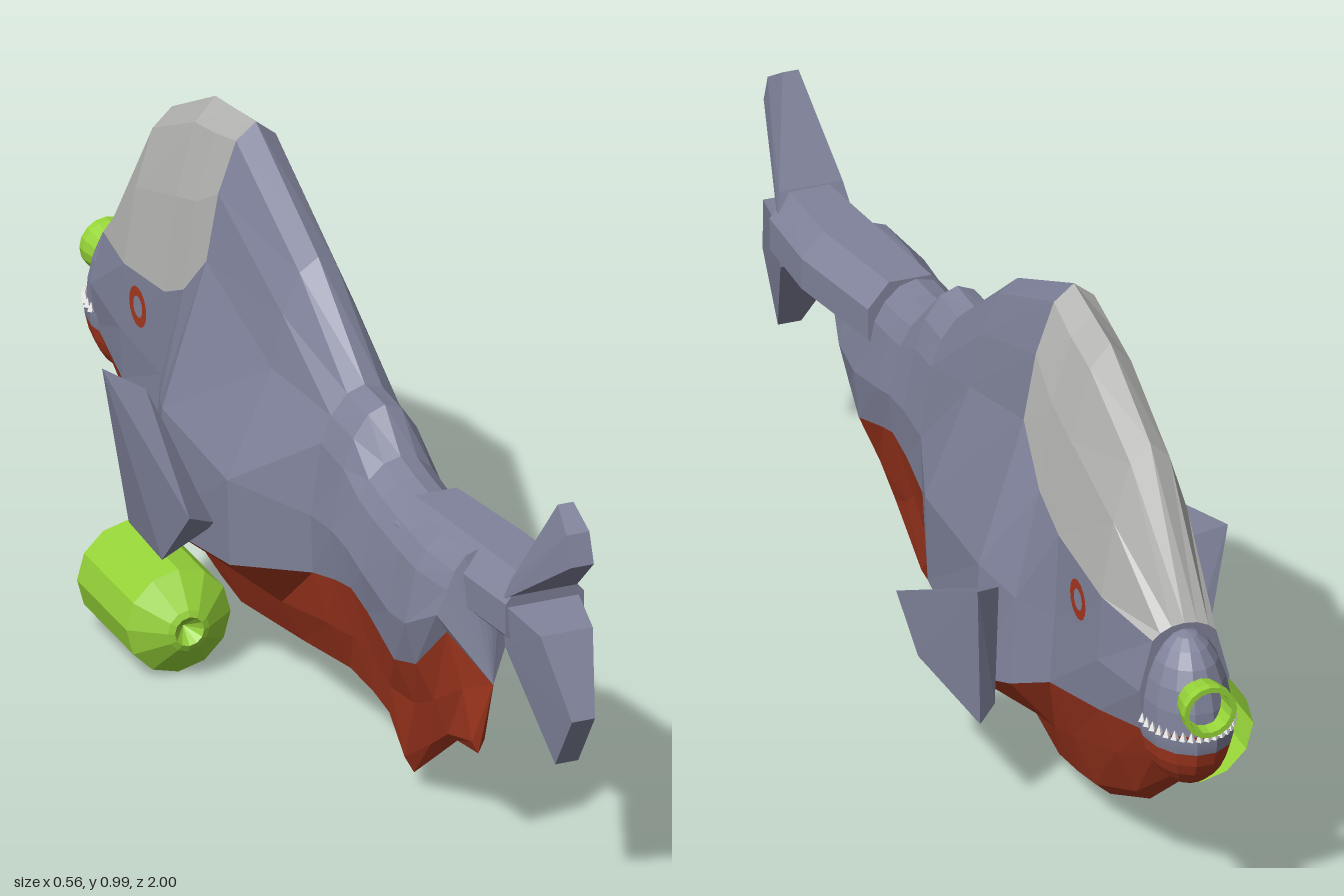
import * as THREE from 'three';
import { ConvexGeometry } from 'three/addons/geometries/ConvexGeometry.js';

const material = (name, color, side = THREE.FrontSide) => {
  const m = new THREE.MeshStandardMaterial({ color, side });
  m.name = name;
  return m;
};

export function createModel() {
  const slate = material('slate', 0x80839b);
  const red = material('rustRed', 0xa83920);
  const grey = material('paleGrey', 0xb6b6b4);
  const green = material('limeGreen', 0x97d539, THREE.DoubleSide);
  const white = material('white', 0xeeeeee);
  const mats = [slate, red, grey];
  const model = new THREE.Group();

  const add = (name, geometry, mat, parent = model) => {
    const mesh = new THREE.Mesh(geometry, mat);
    mesh.name = name;
    parent.add(mesh);
    return mesh;
  };
  // Faceted copy of a geometry
  const facet = (g) => {
    const f = g.index ? g.toNonIndexed() : g;
    f.computeVertexNormals();
    return f;
  };
  const hull = (points) => new ConvexGeometry(points.map((p) => new THREE.Vector3(...p)));

  // Body sections: z, centre x, top, upper line, belly line, bottom,
  // then half widths at upper line, mid, belly line and low belly
  const sections = [
    [-0.87, 0.015, 0.57, 0.545, 0.37, 0.26, 0.06, 0.085, 0.075, 0.055],
    [-0.71, 0.018, 0.85, 0.56, 0.335, 0.14, 0.092, 0.1, 0.095, 0.065],
    [-0.52, 0.02, 0.955, 0.59, 0.3, 0.055, 0.098, 0.105, 0.115, 0.07],
    [-0.43, 0.02, 0.97, 0.635, 0.26, 0.04, 0.1, 0.145, 0.155, 0.07],
    [-0.34, 0.02, 0.985, 0.73, 0.235, 0.03, 0.095, 0.18, 0.187, 0.07],
    [-0.05, 0.015, 0.85, 0.65, 0.28, 0.085, 0.09, 0.175, 0.17, 0.07],
    [0.15, 0.018, 0.69, 0.59, 0.34, 0.118, 0.085, 0.103, 0.1, 0.07],
    [0.24, 0.018, 0.69, 0.58, 0.365, 0.11, 0.08, 0.102, 0.095, 0.06],
    [0.31, 0.018, 0.62, 0.55, 0.38, 0.095, 0.08, 0.102, 0.095, 0.055],
    [0.37, 0.018, 0.61, 0.54, 0.36, 0.028, 0.08, 0.102, 0.09, 0.045],
    [0.49, 0.018, 0.6, 0.53, 0.32, 0.12, 0.08, 0.1, 0.09, 0.05],
    [0.57, 0.015, 0.6, 0.53, 0.345, 0.18, 0.08, 0.1, 0.08, 0.045],
    [0.67, 0.012, 0.6, 0.53, 0.45, 0.2, 0.06, 0.08, 0.06, 0.03],
  ];
  const rings = sections.map(([z, cx, top, up, line, bot, wu, wm, wl, wb]) => {
    const half = [
      [top, 0], [top - 0.12 * (top - up), 0.4 * wu], [top - 0.5 * (top - up), 0.76 * wu],
      [up, wu], [line + 0.45 * (up - line), wm], [line, wl],
      [bot + 0.53 * (line - bot), wb], [bot + 0.1 * (line - bot), 0.4 * wb], [bot, 0],
    ];
    const left = half.map(([y, w]) => [cx + w, y, z]);
    const right = half.slice(1, 8).reverse().map(([y, w]) => [cx - w, y, z]);
    return [...left, ...right];
  });
  const buckets = [[], [], []];
  const n = 16;
  for (let j = 0; j < n; j++) {
    const k = (j + 1) % n;
    const row = j < 8 ? j : 15 - j;
    for (let i = 0; i < rings.length - 1; i++) {
      const a = rings[i][j], b = rings[i][k], c = rings[i + 1][k], d = rings[i + 1][j];
      const colour = row >= 5 ? 1 : row < 3 && i < 4 ? 2 : 0;
      buckets[colour].push(...a, ...d, ...c, ...a, ...c, ...b);
    }
    // End caps
    const end = rings[rings.length - 1];
    buckets[row >= 5 ? 1 : 0].push(...end[k], ...end[j], 0.015, 0.36, 0.73);
    buckets[row >= 5 ? 1 : 0].push(...rings[0][j], ...rings[0][k], 0.015, 0.42, -0.87);
  }
  const bodyGeo = new THREE.BufferGeometry();
  bodyGeo.setAttribute('position', new THREE.Float32BufferAttribute(buckets.flat(), 3));
  let start = 0;
  buckets.forEach((b, i) => {
    bodyGeo.addGroup(start, b.length / 3, i);
    start += b.length / 3;
  });
  bodyGeo.computeVertexNormals();
  add('body', bodyGeo, mats);

  // Tail stalk, bending to the left
  const stalk = [];
  for (const [z, cx, w] of [[0.44, 0.03, 0.08], [0.66, 0.068, 0.083], [0.82, 0.075, 0.075]])
    for (const s of [-1, 1])
      stalk.push([cx + s * w, 0.5, z], [cx + s * w, 0.56, z], [cx + s * w * 0.5, 0.607, z], [cx + s * w * 0.6, 0.47, z]);
  add('tailStalk', hull(stalk), slate);

  // Tail fin lobes: z, y, half thickness
  const lobe = (name, outline) => add(name, hull(outline.flatMap(([z, y, t]) =>
    [[0.072 - t, y, z], [0.072 + t, y, z]])), slate);
  lobe('upperTailFin', [[0.8, 0.56, 0.07], [0.82, 0.61, 0.06], [0.92, 0.79, 0.015], [0.975, 0.755, 0.022], [0.995, 0.7, 0.022]]);
  lobe('lowerTailFin', [[0.8, 0.47, 0.065], [0.81, 0.555, 0.07], [0.925, 0.54, 0.05], [1, 0.4, 0.022], [0.925, 0.285, 0.022]]);

  // Side fins
  add('leftFin', hull([
    [0.24, 0.46, -0.44], [0.275, 0.315, -0.13], [0.268, 0.228, -0.22], [0.235, 0.195, -0.44],
    [0.185, 0.44, -0.4], [0.18, 0.3, -0.18], [0.2, 0.22, -0.25], [0.2, 0.22, -0.42],
  ]), slate);
  add('rightFin', hull([
    [-0.232, 0.505, -0.44], [-0.232, 0.385, -0.05], [-0.22, 0.235, -0.2], [-0.185, 0.2, -0.43],
    [-0.165, 0.47, -0.4], [-0.15, 0.33, -0.12], [-0.16, 0.24, -0.25], [-0.16, 0.23, -0.42],
  ]), slate);

  // Head with upper lip and jaw
  const head = new THREE.Group();
  head.name = 'head';
  head.position.set(0.015, 0.395, -0.875);
  model.add(head);
  const shell = (name, from, size, scale, mat) => {
    const g = new THREE.SphereGeometry(1, 14, 6, 0, Math.PI * 2, from, size);
    g.scale(...scale);
    return add(name, facet(g), mat, head);
  };
  shell('upperLip', 0, Math.PI / 2, [0.08, 0.165, 0.1], slate);
  shell('lowerLip', Math.PI / 2, 0.25, [0.083, 0.13, 0.112], slate);
  shell('jaw', Math.PI / 2 + 0.25, Math.PI / 2 - 0.25, [0.083, 0.13, 0.112], red);
  for (let i = 0; i <= 18; i++) {
    const a = Math.PI * i / 18;
    const tooth = add('tooth', facet(new THREE.ConeGeometry(0.008, 0.018, 4)), white, head);
    tooth.position.set(0.081 * Math.cos(a), 0.006, -0.109 * Math.sin(a));
  }

  // Open tube held in the mouth
  const snout = new THREE.LatheGeometry([[0.038, 0], [0.042, 0.08], [0.05, 0.125], [0.05, 0.14], [0.04, 0.14], [0.034, 0.02]]
    .map(([r, y]) => new THREE.Vector2(r, y)), 16);
  snout.rotateX(-Math.PI / 2);
  add('mouthTube', facet(snout), green).position.set(0.015, 0.455, -0.86);

  // Canister below the right fin, open at one end
  const can = new THREE.LatheGeometry([[0.1, -0.44], [0.1, -0.22], [0.04, -0.175], [0.028, -0.17], [0, -0.2]]
    .map(([r, y]) => new THREE.Vector2(r, y)), 12);
  can.rotateX(Math.PI / 2);
  add('canister', facet(can), green).position.set(-0.18, 0.1, 0);

  // Eye rings
  for (const s of [-1, 1]) {
    const eye = add(s > 0 ? 'leftEye' : 'rightEye', new THREE.RingGeometry(0.02, 0.038, 16), red);
    eye.rotation.y = s * Math.PI / 2;
    eye.position.set(0.019 + s * 0.103, 0.515, -0.625);
  }
  return model;
}
